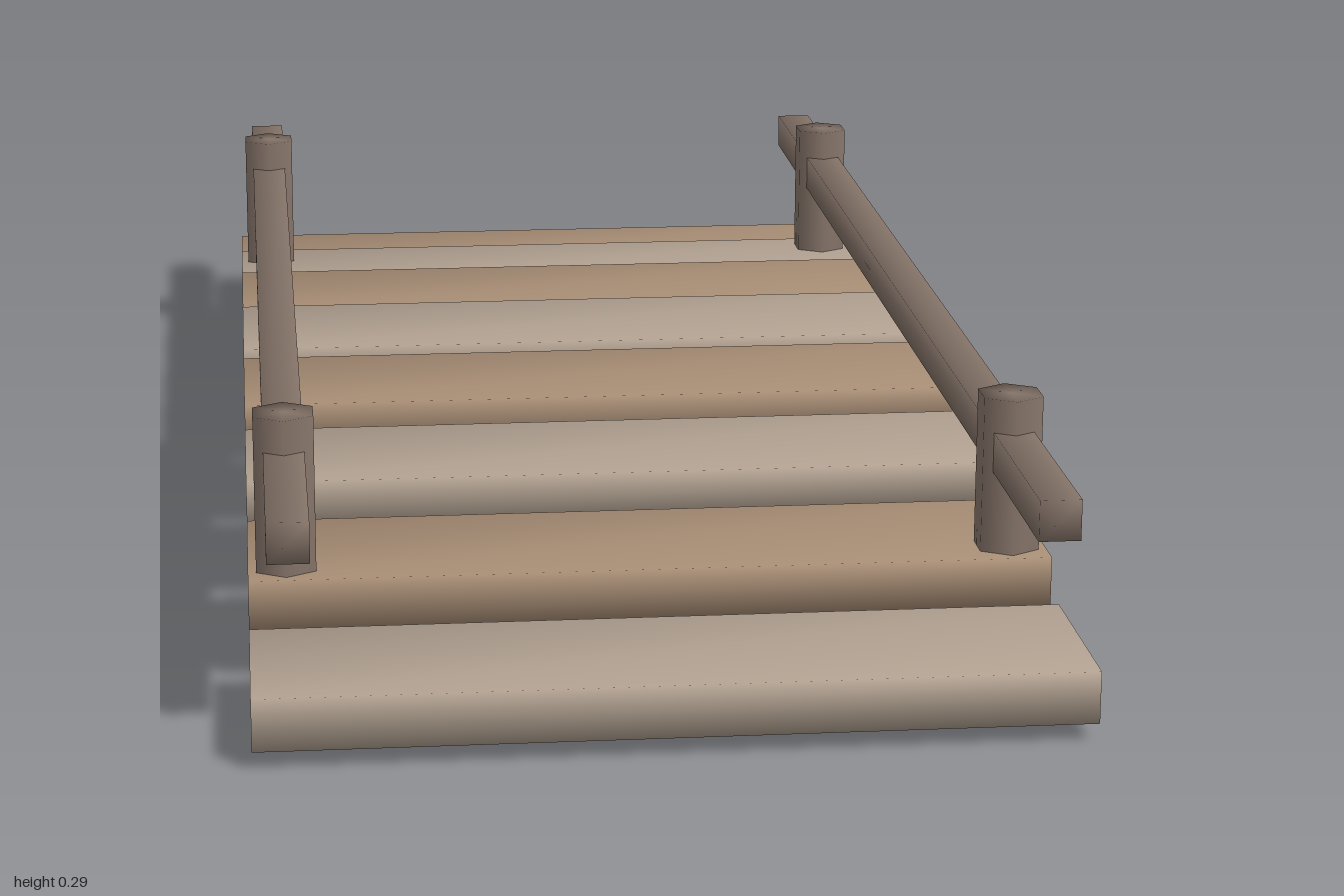
import * as THREE from 'three';
import { mergeVertices } from 'three/addons/utils/BufferGeometryUtils.js';

// Weld corners so the shading runs softly around every edge
function soften(geometry) {
  geometry.deleteAttribute('normal');
  geometry.deleteAttribute('uv');
  const welded = mergeVertices(geometry, 1e-4);
  welded.computeVertexNormals();
  return welded;
}

export function createModel() {
  const bridge = new THREE.Group();
  bridge.name = 'plankBridge';

  const brownWood = new THREE.MeshStandardMaterial({ color: 0xa68c74 });
  const greyWood = new THREE.MeshStandardMaterial({ color: 0xb0a090 });
  const darkWood = new THREE.MeshStandardMaterial({ color: 0x86756a });

  const add = (name, geometry, material, x, y, z) => {
    const mesh = new THREE.Mesh(geometry, material);
    mesh.name = name;
    mesh.position.set(x, y, z);
    bridge.add(mesh);
  };

  // Deck: eight planks in a shallow arch, alternating in colour from back to front
  const plankGeometry = soften(new THREE.BoxGeometry(0.886, 0.058, 0.213));
  const archHeights = [0.049, 0.089, 0.121, 0.139];
  for (let i = 0; i < 8; i++) {
    const y = archHeights[Math.min(i, 7 - i)];
    const z = (i - 3.5) * 0.2553;
    add(`plank${i + 1}`, plankGeometry, i % 2 ? greyWood : brownWood, 0, y, z);
  }

  // Handrails and their six-sided posts, on both sides
  const postGeometry = soften(new THREE.CylinderGeometry(0.038, 0.038, 0.295, 6));
  const railGeometry = soften(new THREE.BoxGeometry(0.045, 0.045, 1.934));
  for (const [sideName, side] of [['left', 1], ['right', -1]]) {
    add(`${sideName}Rail`, railGeometry, darkWood, side * 0.401, 0.234, 0);
    for (const [endName, end] of [['Front', 1], ['Back', -1]]) {
      add(`${sideName}${endName}Post`, postGeometry, darkWood, side * 0.401, 0.1475, end * 0.697);
    }
  }

  return bridge;
}
